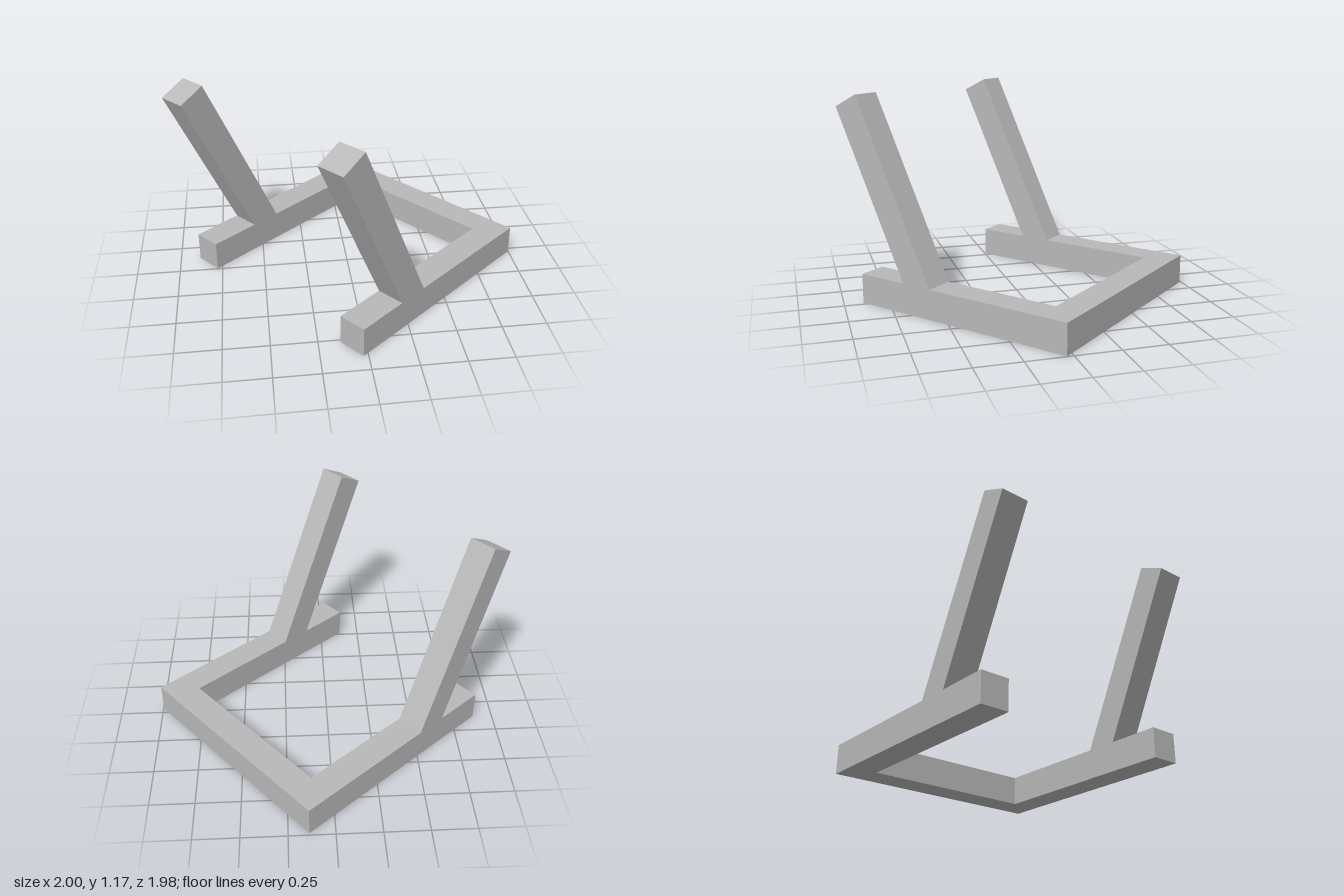
import * as THREE from 'three';

export function createModel() {
  const model = new THREE.Group();
  model.name = 'standFrame';
  const grey = new THREE.MeshStandardMaterial({ color: 0xb8b8b8 });
  grey.name = 'plain grey';

  const bar = 0.164;    // thickness of the bars
  const size = 1.335;   // outer side of the square base
  const height = 0.17;  // height of the base

  // The frame sits turned on the ground; local x runs along the rails
  const frame = new THREE.Group();
  frame.name = 'frame';
  frame.position.set(0.997, 0, 0.035);
  frame.rotation.y = THREE.MathUtils.degToRad(220);
  model.add(frame);

  // Side profile: bottom rail with a leaning post, cut square at its top
  const profile = new THREE.Shape([
    [0, 0], [size, 0], [size, height], [1.031, height],
    [1.485, 1.102], [1.338, 1.174], [0.849, height], [0, height],
  ].map(([x, y]) => new THREE.Vector2(x, y)));
  const sideGeometry = new THREE.ExtrudeGeometry(profile, { depth: bar, bevelEnabled: false });

  for (const [name, z] of [['leftSide', 0], ['rightSide', size - bar]]) {
    const side = new THREE.Mesh(sideGeometry, grey);
    side.name = name + 'RailAndPost';
    side.position.z = z;
    frame.add(side);
  }

  // Crossbar joining the two rails at the back
  const crossbar = new THREE.Mesh(new THREE.BoxGeometry(bar, height, size - 2 * bar), grey);
  crossbar.name = 'crossbar';
  crossbar.position.set(bar / 2, height / 2, size / 2);
  frame.add(crossbar);

  return model;
}
